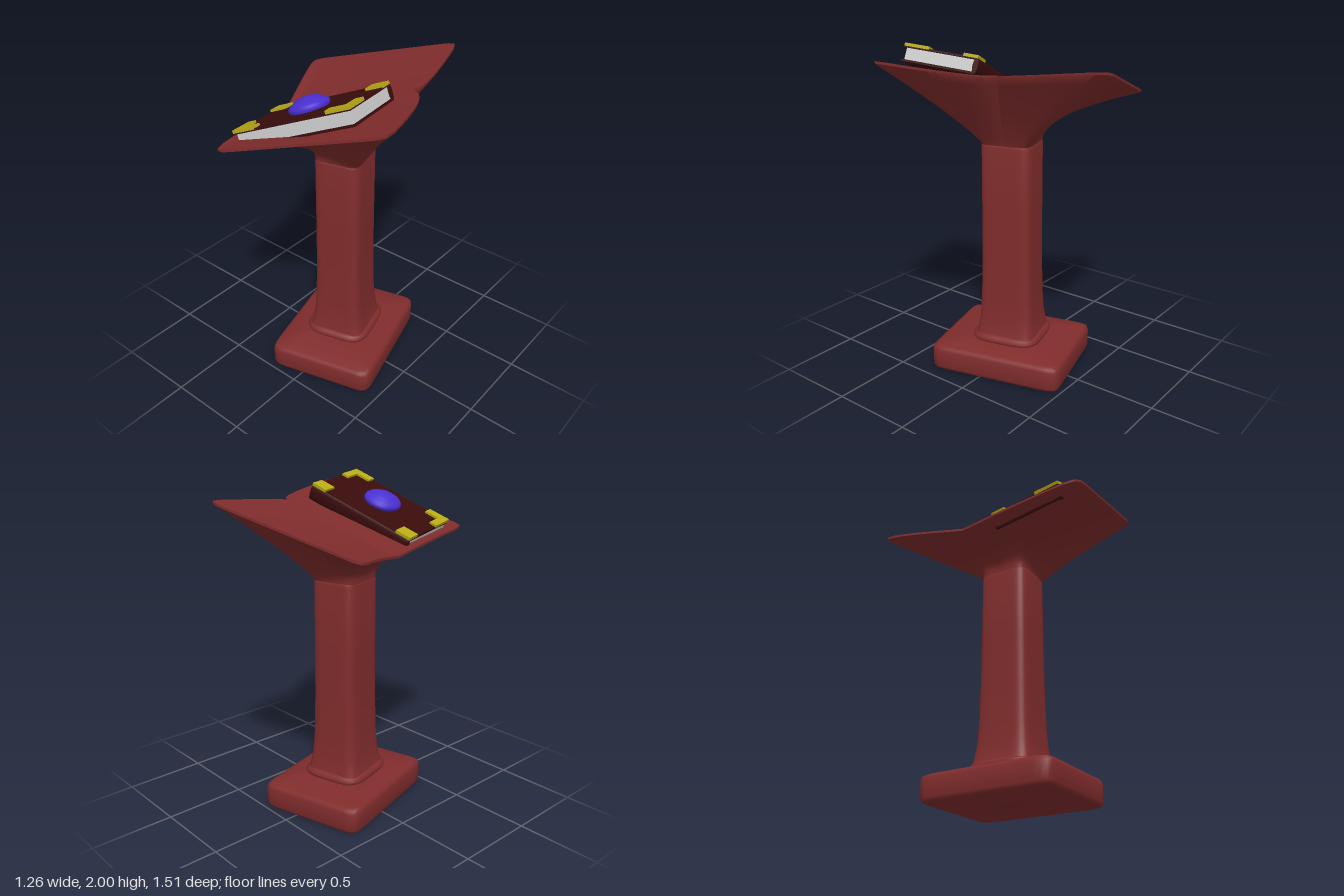
import * as THREE from 'three';
import { toCreasedNormals } from 'three/addons/utils/BufferGeometryUtils.js';

const TURN = THREE.MathUtils.degToRad(15);
const N = 96; // points round every section
const V = (x, y, z) => new THREE.Vector3(x, y, z);
const mat = (color) => new THREE.MeshStandardMaterial({ color });

// Unit rounded square as a loop of [s, t]; a higher power gives tighter corners
function squircle(power) {
  return Array.from({ length: N }, (_, i) => {
    const a = (i / N) * Math.PI * 2;
    const c = Math.cos(a), s = Math.sin(a);
    const r = (Math.abs(c) ** power + Math.abs(s) ** power) ** (-1 / power);
    return [c * r, s * r];
  });
}

// Rounded rectangle at height y, turned about the column axis
function section(hx, hz, y, power) {
  return squircle(power).map(([s, t]) =>
    V(s * hx, y, t * hz).applyAxisAngle(V(0, 1, 0), TURN).add(V(0.01, 0, -0.004)));
}

// Skin over closed loops, from the bottom up
function loft(rings, crease) {
  const pos = rings.flat().flatMap((p) => [p.x, p.y, p.z]);
  const index = [];
  for (let i = 0; i < rings.length - 1; i++) {
    for (let j = 0; j < N; j++) {
      const a = i * N + j, b = i * N + ((j + 1) % N);
      index.push(a, a + N, b, b, a + N, b + N);
    }
  }
  const g = new THREE.BufferGeometry();
  g.setAttribute('position', new THREE.Float32BufferAttribute(pos, 3));
  g.setIndex(index);
  return toCreasedNormals(g, crease);
}

// Open-book tray surface: s runs along the fold, t across it, both -1..1
const fold = [V(-0.415, 1.6, 0.0), V(0.35, 1.86, -0.16)];
const frontEdge = [V(-0.23, 1.675, 0.775), V(0.655, 1.922, 0.472)];
const backEdge = [V(-0.655, 1.68, -0.492), V(0.237, 1.922, -0.775)];
function trayPoint(s, t) {
  const f = (s + 1) / 2, a = Math.abs(t);
  const p = fold[0].clone().lerp(fold[1], f);
  const edge = t > 0 ? frontEdge : backEdge;
  p.lerp(edge[0].clone().lerp(edge[1], f), a);
  const bulge = Math.sin(Math.PI * Math.sqrt(a));
  p.x += (t > 0 ? 0.06 : 0.035) * Math.max(s, 0) ** 2 * bulge;
  // low lip that keeps the book from sliding off
  p.y += 0.018 * THREE.MathUtils.smoothstep(-s, 0.9, 0.96) * (1 - a ** 4);
  return p;
}

function createTray() {
  const loop = squircle(20);
  const neck = section(0.14, 0.153, 1.42, 6);
  const rings = [];
  // underside, flaring from the neck to the rim
  const steps = 16;
  for (let i = 0; i <= steps; i++) {
    const k = (i / steps) ** 2;
    rings.push(loop.map(([s, t], j) => {
      const rim = trayPoint(s, t);
      rim.y -= 0.014;
      const p = neck[j].clone().lerp(rim, k);
      const power = THREE.MathUtils.lerp(0.4, 0.88, (s + 1) / 2);
      p.y = THREE.MathUtils.lerp(neck[j].y, rim.y, k ** power);
      return p;
    }));
  }
  // upper face, closing in on the middle of the fold
  for (const m of [1, 0.98, 0.96, 0.94, 0.92, 0.9, 0.8, 0.65, 0.5, 0.35, 0.2, 0]) {
    rings.push(loop.map(([s, t]) => trayPoint(s * m, t * m)));
  }
  return loft(rings, 0.7);
}

function createBook() {
  const book = new THREE.Group();
  book.name = 'book';
  const leather = mat(0x3a0c0c), gold = mat(0xb8aa14);
  const add = (name, geo, material, x, y, z) => {
    const m = new THREE.Mesh(geo, material);
    m.name = name;
    m.position.set(x, y, z);
    book.add(m);
    return m;
  };
  const W = 0.71, D = 0.46;
  add('frontCover', new THREE.BoxGeometry(W, 0.012, D), leather, 0, -0.006, 0);
  add('backCover', new THREE.BoxGeometry(W, 0.012, D), leather, 0, -0.086, 0);
  add('pages', new THREE.BoxGeometry(W - 0.02, 0.07, D - 0.02), mat(0xcccccc), 0, -0.046, -0.002);
  // rounded spine beside the fold
  const spine = new THREE.CylinderGeometry(0.046, 0.046, W, 24, 1, false, 0, Math.PI);
  spine.rotateZ(Math.PI / 2).rotateX(0);
  spine.computeBoundingBox();
  const round = new THREE.CylinderGeometry(0.046, 0.046, W, 24).rotateZ(Math.PI / 2).scale(1, 1, 0.35);
  add('spine', round, leather, 0, -0.046, -D / 2 + 0.004);
  // gold corners: squares by the spine, L shapes at the opening side
  for (const side of [-1, 1]) {
    for (const [x, z, w, d] of [[0.307, -0.187, 0.1, 0.09], [0.287, 0.203, 0.14, 0.058], [0.333, 0.124, 0.048, 0.1]]) {
      add('goldCorner', new THREE.BoxGeometry(w, 0.018, d), gold, side * x, 0.004, z);
    }
  }
  // stepped domed gem
  const profile = [[0.105, -0.002], [0.114, 0.012], [0.111, 0.026], [0.098, 0.039], [0.08, 0.046],
    [0.07, 0.053], [0.05, 0.062], [0.026, 0.067], [0, 0.068]];
  const gem = new THREE.LatheGeometry(profile.map(([r, y]) => new THREE.Vector2(r, y)), 40);
  add('gem', gem, mat(0x4a2fd0), 0, 0, 0.01);

  // lie flat on the front half of the tray
  const u = V(0.657 * Math.cos(TURN), 0.265, -0.657 * Math.sin(TURN)).normalize();
  const across = V(0.085, 0.04, 0.452);
  const n = across.clone().cross(u).normalize();
  const v = u.clone().cross(n);
  book.quaternion.setFromRotationMatrix(new THREE.Matrix4().makeBasis(u, n, v));
  book.position.set(0.038, 1.827, 0.312);
  return book;
}

export function createModel() {
  const model = new THREE.Group();
  model.name = 'lectern';
  const red = mat(0x802c2c);
  const part = (name, geo) => {
    const m = new THREE.Mesh(geo, red);
    m.name = name;
    model.add(m);
  };
  // [half width, half depth, height] profiles
  const stack = (profile, power) => profile.map(([x, z, y]) => section(x, z, y, power));

  part('base', loft(stack([[0, 0, 0], [0.315, 0.395, 0], [0.328, 0.41, 0.008], [0.335, 0.417, 0.025],
    [0.335, 0.417, 0.13], [0.328, 0.41, 0.15], [0.31, 0.39, 0.16], [0.26, 0.32, 0.168],
    [0.22, 0.27, 0.182], [0, 0, 0.184]], 16), 0.9));
  part('footMoulding', loft(stack([[0.19, 0.2, 0.17], [0.205, 0.215, 0.185], [0.207, 0.217, 0.2],
    [0.195, 0.205, 0.216], [0.175, 0.187, 0.226], [0, 0, 0.23]], 4), 0.9));
  part('column', loft(stack([[0.185, 0.195, 0.2], [0.17, 0.182, 0.25], [0.158, 0.171, 0.33],
    [0.15, 0.164, 0.45], [0.144, 0.159, 0.7], [0.142, 0.157, 1.0], [0.141, 0.156, 1.41],
    [0.138, 0.153, 1.425], [0.125, 0.14, 1.435], [0, 0, 1.436]], 6), 0.9));
  part('tray', createTray());
  model.add(createBook());
  return model;
}
